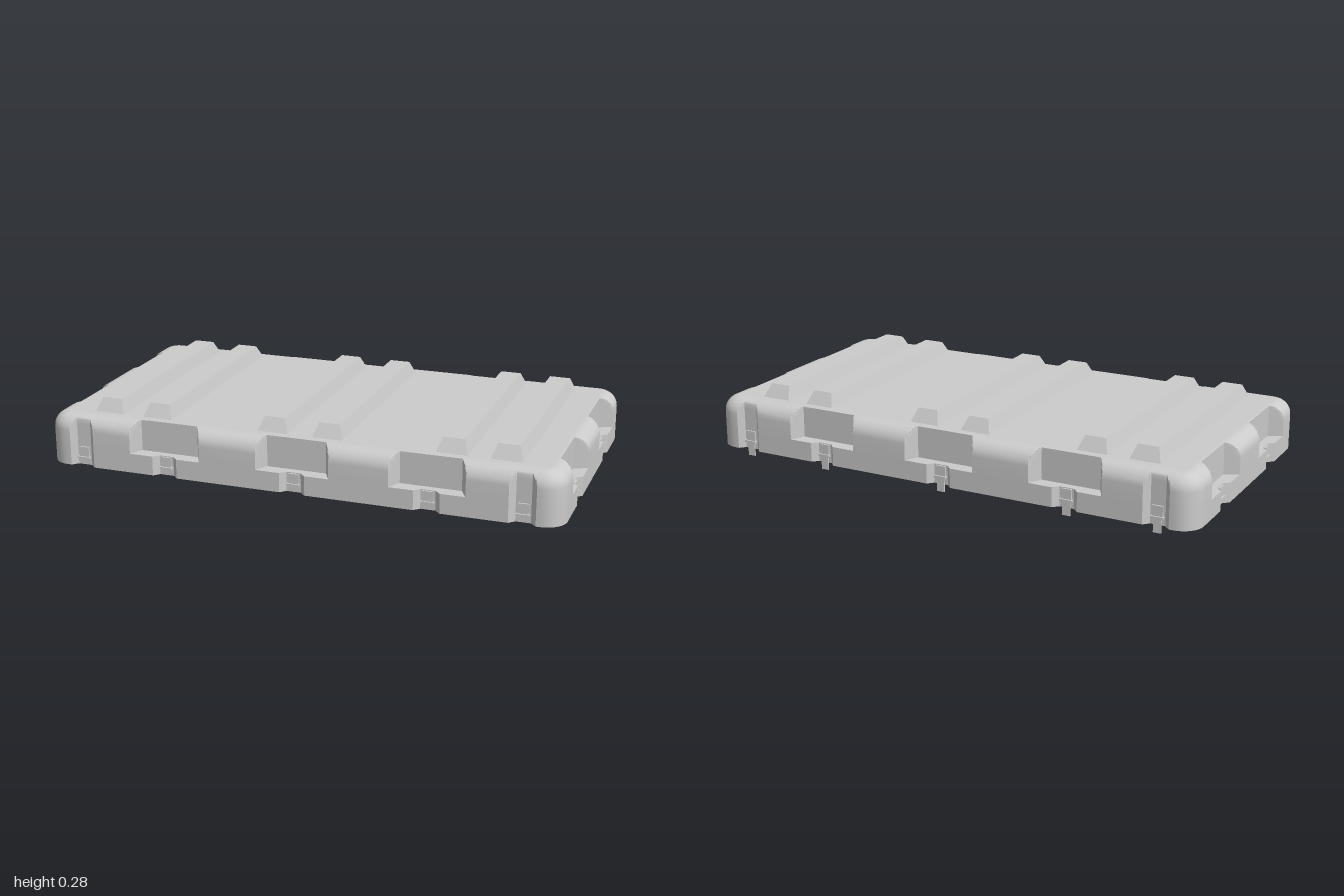
import * as THREE from 'three';
import { toCreasedNormals } from 'three/addons/utils/BufferGeometryUtils.js';

const HX = 1, HZ = 0.535, R = 0.08;          // half sizes and plan corner radius
const BOTTOM = 0.028, LEDGE = 0.103, DECK = 0.225, FILLET = 0.06;
const LONG_LATCHES = [-0.51, 0, 0.51], CORNER_LATCHES = [-0.855, 0.855], END_LATCHES = [-0.245, 0.245];
const RIBS = [-0.775, -0.575, -0.107, 0.107, 0.575, 0.775];

const material = new THREE.MeshStandardMaterial({ color: 0xcccccc, side: THREE.DoubleSide });

function addMesh(parent, name, geometry) {
  const mesh = new THREE.Mesh(geometry, material);
  mesh.name = name;
  parent.add(mesh);
  return mesh;
}

// Skin closed loops of [x, y, z] points, skipping collapsed triangles
function loft(rows, crease) {
  const pos = [];
  const v = (p) => new THREE.Vector3(...p);
  const tri = (a, b, c) => {
    const area = v(b).sub(v(a)).cross(v(c).sub(v(a))).length();
    if (area > 1e-9) pos.push(...a, ...b, ...c);
  };
  for (let i = 0; i < rows.length - 1; i++) {
    const n = rows[i].length;
    for (let j = 0; j < n; j++) {
      const k = (j + 1) % n;
      tri(rows[i][j], rows[i][k], rows[i + 1][j]);
      tri(rows[i][k], rows[i + 1][k], rows[i + 1][j]);
    }
  }
  const g = new THREE.BufferGeometry();
  g.setAttribute('position', new THREE.Float32BufferAttribute(pos, 3));
  return toCreasedNormals(g, crease);
}

// Recesses of one side: trapezoids in plan, for the lower or the upper tier
const pocket = (c) => ({ c, outer: 0.142, inner: 0.115, d: 0.053 });
const slot = (c) => ({ c, outer: 0.049, inner: 0.028, d: 0.022 });
function recesses(side, upper) {
  const main = side % 2 ? LONG_LATCHES : END_LATCHES;
  const corners = side % 2 ? CORNER_LATCHES : [];
  return [...main.map(upper ? pocket : slot), ...corners.map(slot)];
}
function recessDepth(side, upper, u) {
  let depth = 0;
  for (const f of recesses(side, upper)) {
    const t = (f.outer - Math.abs(u - f.c)) / (f.outer - f.inner);
    depth = Math.max(depth, f.d * THREE.MathUtils.clamp(t, 0, 1));
  }
  return depth;
}

// Stations around the plan: straight sides broken at recess edges, then corner arcs
function makeStations() {
  const list = [];
  for (let side = 0; side < 4; side++) {
    const len = (side % 2 ? HX : HZ) - R;
    const us = [-len, len];
    for (const f of [...recesses(side, false), ...recesses(side, true)]) {
      for (let i = 0; i <= 5; i++) {
        const off = THREE.MathUtils.lerp(f.outer, f.inner, i / 5);
        us.push(f.c - off, f.c + off);
      }
    }
    const sorted = [...new Set(us.map((u) => Math.round(u * 1e5) / 1e5))].sort((a, b) => a - b);
    sorted.forEach((u) => list.push({ side, u }));
    for (let i = 1; i < 8; i++) list.push({ side, angle: (i / 8) * Math.PI / 2 });
  }
  return list;
}

function wallLoop(stations, { y, inset, upper = false, wall = 0 }) {
  return stations.map(({ side, u, angle }) => {
    const half = side % 2 ? HX : HZ, out = side % 2 ? HZ : HX;
    const a = side * Math.PI / 2, nx = Math.round(Math.cos(a)), nz = Math.round(Math.sin(a));
    let n, t;
    if (angle === undefined) {
      const d = recessDepth(side, upper, side === 1 || side === 2 ? -u : u);
      n = out - Math.max(inset, d > 0 ? d + wall : 0);
      t = u;
    } else {
      n = out - R + (R - inset) * Math.cos(angle);
      t = half - R + (R - inset) * Math.sin(angle);
    }
    return [nx * n - nz * t, y, nz * n + nx * t];
  });
}

// Rounded outer wall, flat rim and inner wall in one skin
function wallGeometry() {
  const rows = [];
  const arc = (i) => (i / 10) * Math.PI / 2;
  const springY = DECK - FILLET;
  for (let i = 10; i >= 0; i--) {
    rows.push({ y: springY + FILLET * Math.sin(arc(i)), inset: FILLET * (1 - Math.cos(arc(i))), upper: true });
  }
  rows.push({ y: LEDGE, inset: 0, upper: true }, { y: LEDGE, inset: 0 }, { y: BOTTOM, inset: 0 });
  const wall = 0.012;
  rows.push(
    { y: BOTTOM, inset: 0.045, wall }, { y: 0.05, inset: 0.045, wall },
    { y: 0.05, inset: 0.025, wall }, { y: LEDGE - 0.01, inset: 0.025, wall },
    { y: LEDGE - 0.01, inset: 0.02, upper: true, wall });
  for (let i = 0; i <= 10; i++) {
    rows.push({ y: springY + FILLET * Math.sin(arc(i)), inset: 0.02 + 0.05 * (1 - Math.cos(arc(i))), upper: true, wall });
  }
  const stations = makeStations();
  return loft(rows.map((r) => wallLoop(stations, r)), 0.5);
}

const rect = (w, d) => [[w, -d], [w, d], [-w, d], [-w, -d]];

// Flat deck, open under each hollow rib
function deckGeometry() {
  const x = HX - FILLET, z = HZ - FILLET, r = R - FILLET;
  const shape = new THREE.Shape();
  [[x - r, z - r, 0], [r - x, z - r, 1], [r - x, r - z, 2], [x - r, r - z, 3]].forEach(([cx, cz, q]) =>
    shape.absarc(cx, cz, r, q * Math.PI / 2, (q + 1) * Math.PI / 2, false));
  for (const c of RIBS) {
    shape.holes.push(new THREE.Path(rect(0.058, 0.45).map(([a, b]) => new THREE.Vector2(c + a, b))));
  }
  return new THREE.ShapeGeometry(shape, 8).rotateX(-Math.PI / 2).translate(0, DECK, 0);
}

// Hollow rib with sloping sides
function ribGeometry() {
  const row = (w, d, y) => rect(w, d).map(([x, z]) => [x, y, z]);
  return loft([row(0, 0.38, 0.275), row(0.04, 0.42, 0.275), row(0.058, 0.45, DECK)], 0.3);
}

// Catch inside a slot, with the hanging hook on the back side only
function makeLatch(hook) {
  const latch = new THREE.Group();
  latch.name = 'latch';
  addMesh(latch, 'latchPlate', new THREE.BoxGeometry(0.04, 0.04, 0.008)).position.set(0, 0.08, -0.019);
  addMesh(latch, 'latchLip', new THREE.BoxGeometry(0.048, 0.008, 0.014)).position.set(0, 0.058, -0.016);
  if (hook) addMesh(latch, 'latchHook', new THREE.BoxGeometry(0.03, 0.07, 0.005)).position.set(0, 0.035, -0.019);
  return latch;
}

export function createModel() {
  const model = new THREE.Group();
  model.name = 'caseLid';
  addMesh(model, 'wall', wallGeometry());
  addMesh(model, 'deck', deckGeometry());

  const rib = ribGeometry();
  RIBS.forEach((x) => { addMesh(model, 'rib', rib).position.x = x; });

  const place = (x, z, turn, hook) => {
    const latch = makeLatch(hook);
    latch.position.set(x, 0, z);
    latch.rotation.y = turn;
    model.add(latch);
  };
  for (const x of [...LONG_LATCHES, ...CORNER_LATCHES]) {
    place(x, HZ, 0, false);
    place(x, -HZ, Math.PI, true);
  }
  for (const z of END_LATCHES) {
    place(HX, z, Math.PI / 2, false);
    place(-HX, z, -Math.PI / 2, false);
  }
  return model;
}
